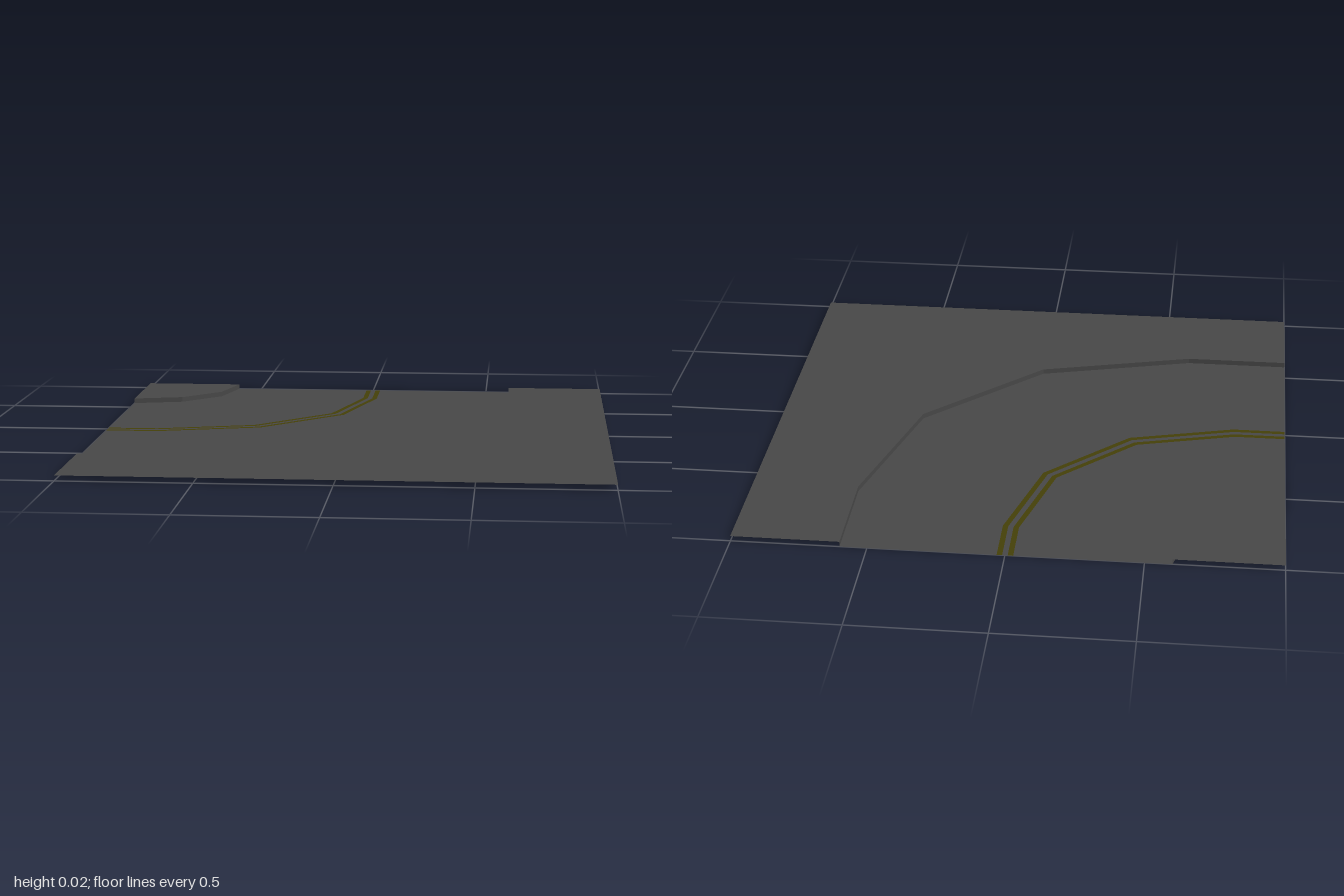
import * as THREE from 'three';

const CURB = 0.02; // pavement height above the road

// Plan outlines as [x, z], each running from the back edge to the side edge
const outerCurb = [[0.6, -1], [0.6, -0.6], [0.44, 0], [0, 0.44], [-0.6, 0.6], [-1, 0.6]];
const innerCurb = [[-0.6, -1], [-0.65, -0.8], [-0.8, -0.65], [-1, -0.6]];

// Centre line of the bend, shifted sideways by d with mitred corners
function centreLine(d) {
  const half = [[d, -1], [d, -0.8 + 0.13 * d], [-0.107 + 0.9 * d, -0.407 + 0.52 * d]];
  return [...half, ...half.map(([x, z]) => [z, x]).reverse()];
}

// Flat sheet facing up, filling an outline
function sheet(outline, y) {
  const shape = new THREE.Shape(outline.map(([x, z]) => new THREE.Vector2(x, -z)));
  return new THREE.ShapeGeometry(shape).rotateX(-Math.PI / 2).translate(0, y, 0);
}

// Flat sheet between two outlines
const band = (a, b) => sheet([...a, ...[...b].reverse()], 0);

// Upright faceted wall following an outline
function wall(line) {
  const pos = [];
  for (let i = 0; i < line.length - 1; i++) {
    const [ax, az] = line[i];
    const [bx, bz] = line[i + 1];
    pos.push(ax, 0, az, bx, 0, bz, bx, CURB, bz, ax, 0, az, bx, CURB, bz, ax, CURB, az);
  }
  const geo = new THREE.BufferGeometry();
  geo.setAttribute('position', new THREE.Float32BufferAttribute(pos, 3));
  geo.computeVertexNormals();
  return geo;
}

export function createModel() {
  const group = new THREE.Group();
  const asphalt = new THREE.MeshStandardMaterial({ color: 0x484848, side: THREE.DoubleSide });
  asphalt.name = 'asphalt grey';
  const paint = new THREE.MeshStandardMaterial({ color: 0x454008, side: THREE.DoubleSide });
  paint.name = 'dull yellow paint';

  const add = (name, geo, material) => {
    const mesh = new THREE.Mesh(geo, material);
    mesh.name = name;
    group.add(mesh);
  };

  // Road surface and the double line, laid edge to edge
  const edges = [-0.03, -0.01, 0.01, 0.03].map(centreLine);
  add('innerLane', band(edges[0], innerCurb), asphalt);
  add('innerLine', band(edges[1], edges[0]), paint);
  add('lineGap', band(edges[2], edges[1]), asphalt);
  add('outerLine', band(edges[3], edges[2]), paint);
  add('outerLane', band(outerCurb, edges[3]), asphalt);

  // Raised pavements
  add('innerPavement', sheet([...innerCurb, [-1, -1]], CURB), asphalt);
  add('outerPavement', sheet([...outerCurb, [-1, 1], [1, 1], [1, -1]], CURB), asphalt);

  // Curb faces, both turned towards the road
  add('innerCurb', wall([...innerCurb].reverse()), asphalt);
  add('outerCurb', wall(outerCurb), asphalt);

  return group;
}
